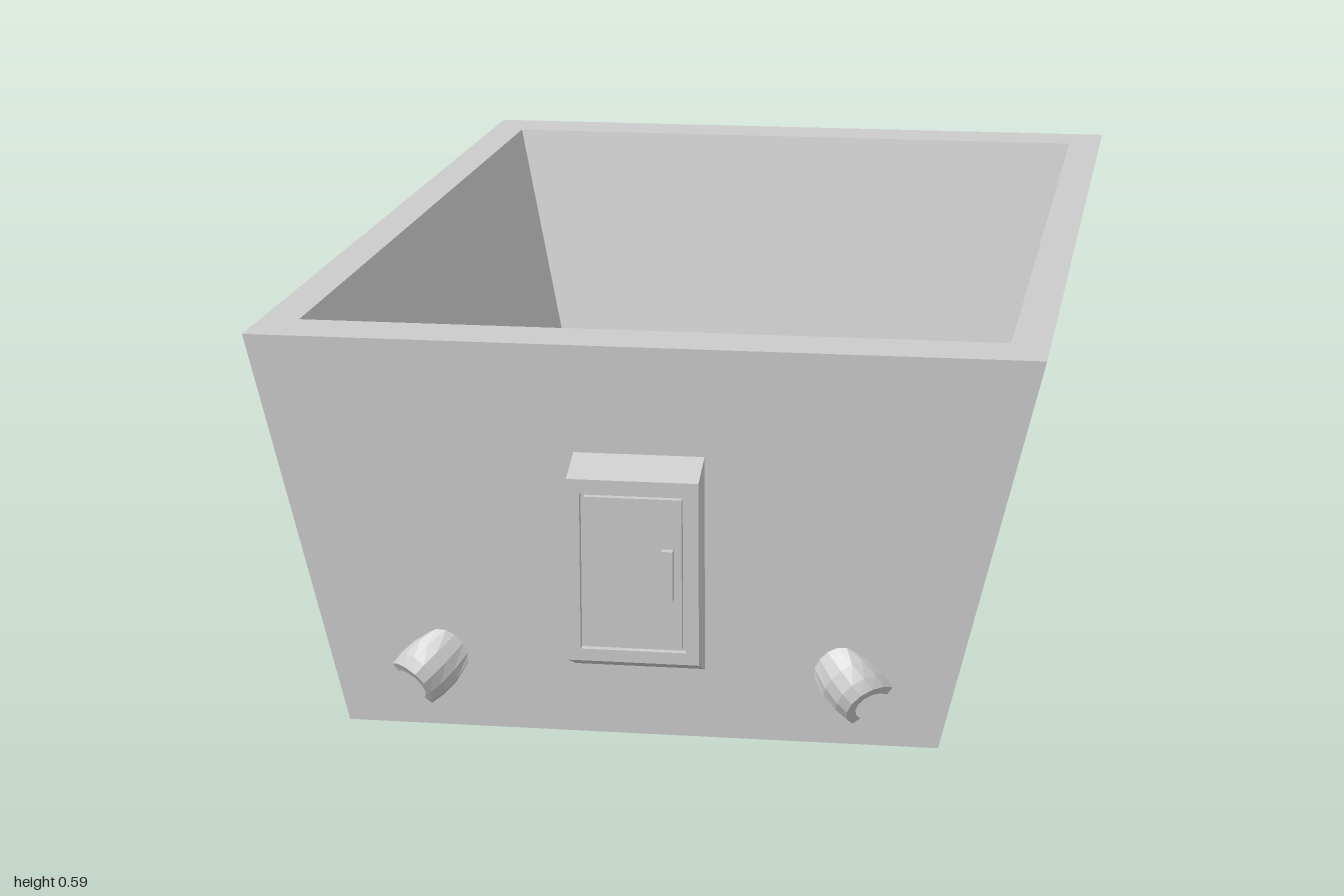
import * as THREE from 'three';

const material = new THREE.MeshStandardMaterial({ color: 0xcccccc, flatShading: true, side: THREE.DoubleSide });

// Skin a series of rings with flat quads; closed rings are joined up and capped on request
function loft(rings, { closed = true, capStart = false, capEnd = false } = {}) {
  const out = [];
  const n = rings[0].length;
  const tri = (a, b, c) => out.push(...a, ...b, ...c);
  for (let k = 0; k < rings.length - 1; k++) {
    const a = rings[k], b = rings[k + 1];
    for (let i = 0; i < (closed ? n : n - 1); i++) {
      const j = (i + 1) % n;
      tri(a[i], a[j], b[j]);
      tri(a[i], b[j], b[i]);
    }
  }
  const first = rings[0], last = rings[rings.length - 1];
  for (let i = 1; i < n - 1; i++) {
    if (capStart) tri(first[0], first[i + 1], first[i]);
    if (capEnd) tri(last[0], last[i], last[i + 1]);
  }
  const g = new THREE.BufferGeometry();
  g.setAttribute('position', new THREE.Float32BufferAttribute(out, 3));
  g.computeVertexNormals();
  return g;
}

// Horizontal and upright rectangles
const levelRect = (x, z, y) => [[x, y, z], [x, y, -z], [-x, y, -z], [-x, y, z]];
const uprightRect = (x, y0, y1, z) => [[-x, y0, z], [x, y0, z], [x, y1, z], [-x, y1, z]];

function part(name, geometry) {
  const m = new THREE.Mesh(geometry, material);
  m.name = name;
  return m;
}

function box(name, w, h, d, x, y, z) {
  const m = part(name, new THREE.BoxGeometry(w, h, d));
  m.position.set(x, y, z);
  return m;
}

// Arched pipe leaving the wall: each ring is [foot, crown, height, half width]
function spoutGeometry() {
  const S = Math.SQRT1_2, steps = 7, centre = 0.288;
  const profile = [
    [0.122, 0.096, 0, 0.038],
    [0.150, 0.128, 0.024, 0.044],
    [0.178, 0.153, 0.036, 0.045],
    [0.202, 0.172, 0.040, 0.042],
    [0.204, 0.181, 0.027, 0.028],
    [0.135, 0.120, 0.010, 0.026],
  ];
  const rings = profile.map(([foot, crown, height, half]) => {
    const ring = [];
    for (let i = 0; i <= steps; i++) {
      const a = (i / steps) * Math.PI;
      const p = centre + half * Math.cos(a);
      const d = foot + (crown - foot) * Math.sin(a);
      ring.push([S * (p + d), S * (p - d), 0.929 + height * Math.sin(a)]);
    }
    return ring;
  });
  return loft(rings, { closed: false });
}

// Fittings on one end wall: door housing, door, handle and two spouts
function endFittings(name) {
  const g = new THREE.Group();
  g.name = name;
  g.add(part('doorHousing', loft([
    uprightRect(0.097, 0.105, 0.43, 0.929),
    uprightRect(0.097, 0.13, 0.405, 0.988),
    uprightRect(0.078, 0.148, 0.385, 0.988),
    uprightRect(0.078, 0.148, 0.385, 0.976),
  ], { capEnd: true })));
  g.add(box('door', 0.144, 0.225, 0.012, 0, 0.2665, 0.981));
  g.add(box('doorHandle', 0.017, 0.075, 0.014, 0.052, 0.267, 0.993));
  const geometry = spoutGeometry();
  for (const side of [1, -1]) {
    const spout = part(side > 0 ? 'leftSpout' : 'rightSpout', geometry);
    spout.scale.x = side;
    g.add(spout);
  }
  return g;
}

export function createModel() {
  const model = new THREE.Group();
  model.name = 'trough';

  // Flared tub with a sloping cavity
  model.add(part('tub', loft([
    levelRect(0.443, 0.93, 0),
    levelRect(0.59, 0.93, 0.59),
    levelRect(0.532, 0.825, 0.59),
    levelRect(0.395, 0.688, 0.036),
  ], { capStart: true, capEnd: true })));

  // The same fittings on both ends, turned half round
  const front = endFittings('frontFittings');
  const back = endFittings('backFittings');
  back.rotation.y = Math.PI;
  model.add(front, back);
  return model;
}
